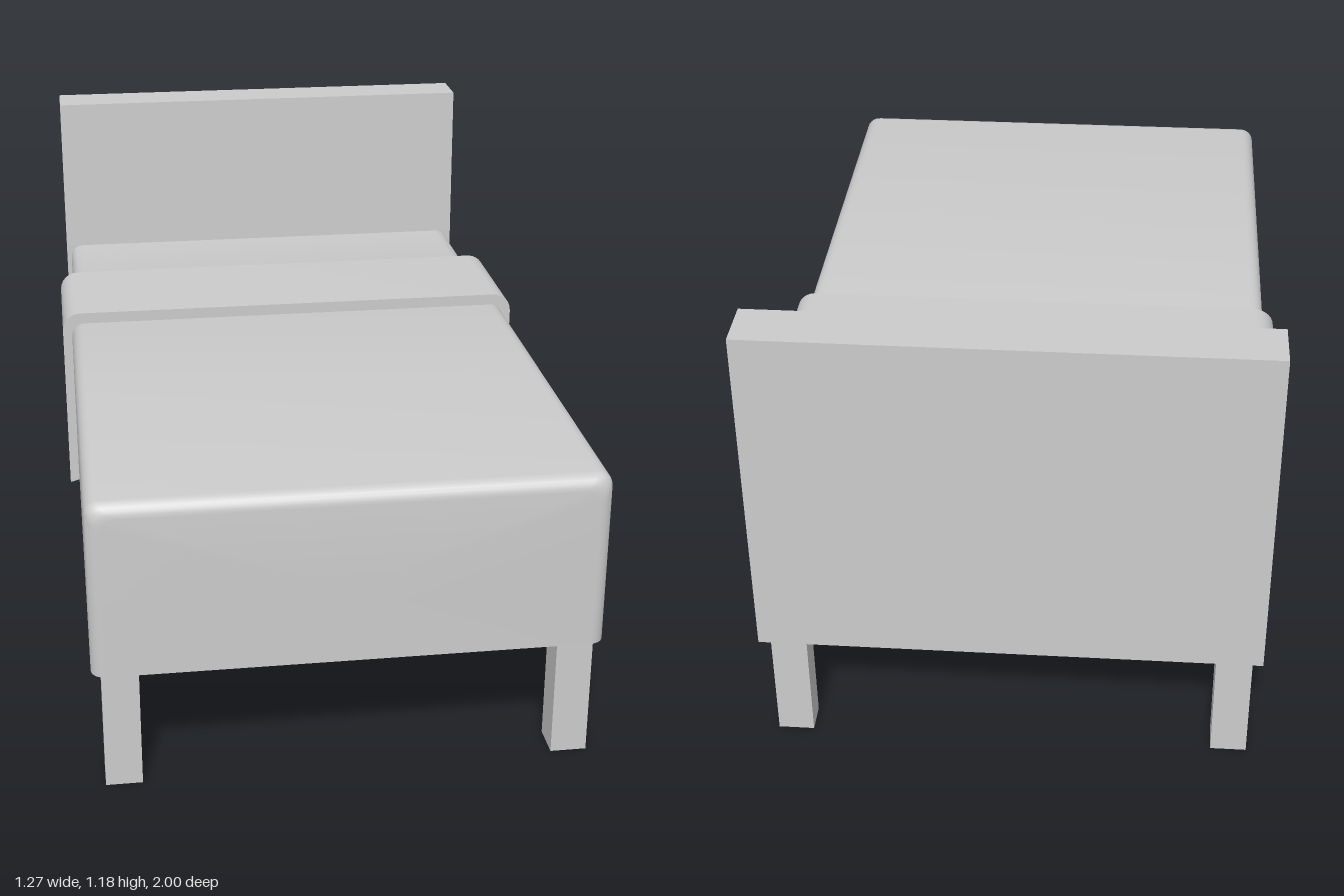
import * as THREE from 'three';
import { toCreasedNormals } from 'three/addons/utils/BufferGeometryUtils.js';

const material = new THREE.MeshStandardMaterial({ color: 0xcccccc });

function addMesh(parent, name, geometry, x = 0, y = 0, z = 0) {
  const mesh = new THREE.Mesh(geometry, material);
  mesh.name = name;
  mesh.position.set(x, y, z);
  parent.add(mesh);
}

// Right bottom, over rounded top corners, to left bottom
function archPoints(halfWidth, bottom, top, radius, steps = 6) {
  const points = [[halfWidth, bottom]];
  for (const side of [0, 1]) {
    for (let i = 0; i <= steps; i++) {
      const a = (side + i / steps) * Math.PI / 2;
      const cx = (side ? -1 : 1) * (halfWidth - radius);
      points.push([cx + radius * Math.cos(a), top - radius + radius * Math.sin(a)]);
    }
  }
  points.push([-halfWidth, bottom]);
  return points;
}

// Mattress and cover: cross-sections joined from foot to head
function beddingGeometry() {
  const r = 0.035;
  const stations = [];
  for (let i = 0; i <= 6; i++) {
    const a = i / 6 * Math.PI / 2;
    const inset = r * (1 - Math.sin(a));
    stations.push([1 - r + r * Math.cos(a), 0.61 - inset, 0.31, 0.75 - inset, 0.31]);
  }
  stations.push(
    [0.3, 0.61, 0.31, 0.75, 0.305],
    [-0.49, 0.61, 0.31, 0.75, 0.303],
    [-0.53, 0.597, 0.33, 0.74, 0.303],
    [-0.85, 0.597, 0.33, 0.74, 0.305],
    [-0.93, 0.597, 0.315, 0.74, 0.31]
  );
  const positions = [], index = [];
  let n = 0;
  for (const [z, halfWidth, bottom, top, belly] of stations) {
    const ring = [...archPoints(halfWidth, bottom, top, r), [-0.5, belly], [0.5, belly]];
    n = ring.length;
    for (const [x, y] of ring) positions.push(x, y, z);
  }
  for (let i = 0; i < stations.length - 1; i++) {
    for (let j = 0; j < n; j++) {
      const k = (j + 1) % n;
      const a = i * n + j, b = i * n + k, c = b + n, d = a + n;
      index.push(a, d, c, a, c, b);
    }
  }
  // End caps
  const front = positions.length / 3, last = (stations.length - 1) * n;
  positions.push(0, 0.5, 1, 0, 0.5, -0.93);
  for (let j = 0; j < n; j++) {
    const k = (j + 1) % n;
    index.push(front, j, k, front + 1, last + k, last + j);
  }
  const geometry = new THREE.BufferGeometry();
  geometry.setAttribute('position', new THREE.Float32BufferAttribute(positions, 3));
  geometry.setIndex(index);
  return toCreasedNormals(geometry, 0.6);
}

// Folded throw draped across the bed
function throwGeometry() {
  const outer = archPoints(0.635, 0.265, 0.78, 0.05);
  const inner = archPoints(0.59, 0.278, 0.735, 0.03).reverse();
  const shape = new THREE.Shape([...outer, ...inner].map(([x, y]) => new THREE.Vector2(x, y)));
  const geometry = new THREE.ExtrudeGeometry(shape, { depth: 0.345, bevelEnabled: false });
  return toCreasedNormals(geometry, 0.6);
}

// Headboard side outline, with its front leaning slightly towards the foot
function headboardGeometry() {
  const outline = [[1, 0.31], [1, 1.185], [0.873, 1.185], [0.86, 0.74], [0.86, 0.33], [0.875, 0.31]];
  const shape = new THREE.Shape(outline.map(([x, y]) => new THREE.Vector2(x, y)));
  const geometry = new THREE.ExtrudeGeometry(shape, { depth: 1.22, bevelEnabled: false });
  geometry.translate(0, 0, -0.61);
  geometry.rotateY(Math.PI / 2);
  return geometry;
}

export function createModel() {
  const bed = new THREE.Group();
  bed.name = 'bed';
  addMesh(bed, 'bedding', beddingGeometry());
  addMesh(bed, 'throw', throwGeometry(), 0, 0, -0.49);
  addMesh(bed, 'headboard', headboardGeometry());
  // Legs
  for (const side of [1, -1]) {
    const label = side > 0 ? 'left' : 'right';
    addMesh(bed, label + 'FrontLeg', new THREE.BoxGeometry(0.088, 0.33, 0.086), side * 0.543, 0.165, 0.935);
    addMesh(bed, label + 'BackLeg', new THREE.BoxGeometry(0.088, 0.33, 0.07), side * 0.543, 0.165, -0.935);
  }
  return bed;
}
